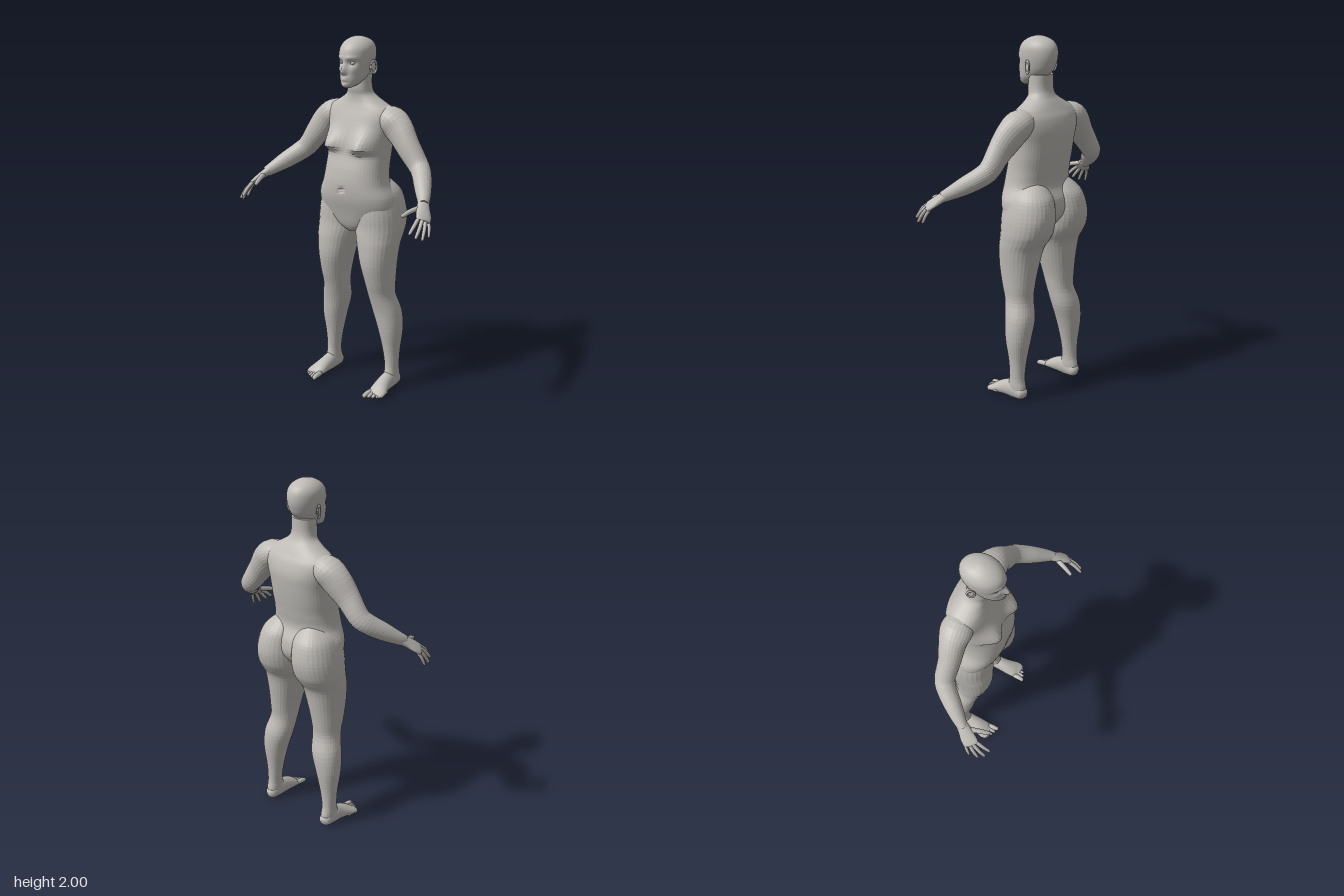
import * as THREE from 'three';

const skin = new THREE.MeshStandardMaterial({ color: 0xbebbb6 });
skin.name = 'plain clay grey';

// Catmull-Rom interpolation of every column in a table of cross-sections
function resample(rows, k) {
  const out = [];
  for (let i = 0; i < rows.length - 1; i++) {
    const [p, a, b, q] = [rows[Math.max(i - 1, 0)], rows[i], rows[i + 1], rows[Math.min(i + 2, rows.length - 1)]];
    for (let s = 0; s < k; s++) {
      const t = s / k;
      out.push(a.map((v, c) => v + 0.5 * t * (b[c] - p[c] + t * (2 * p[c] - 5 * v + 4 * b[c] - q[c]
        + t * (3 * (v - b[c]) + q[c] - p[c])))));
    }
  }
  out.push(rows[rows.length - 1]);
  return out;
}

// Closed surface over a list of rings, with a fan at each end
function loft(rings) {
  const n = rings[0].length, last = rings.length - 1, pos = [], idx = [];
  rings.forEach(r => r.forEach(v => pos.push(v.x, v.y, v.z)));
  for (let i = 0; i < last; i++) for (let j = 0; j < n; j++) {
    const k = (j + 1) % n, a = i * n + j, b = i * n + k;
    idx.push(a, b, b + n, a, b + n, a + n);
  }
  [0, last].forEach((row, end) => {
    const c = new THREE.Vector3();
    rings[row].forEach(v => c.addScaledVector(v, 1 / n));
    const id = pos.length / 3;
    pos.push(c.x, c.y, c.z);
    for (let j = 0; j < n; j++) {
      const a = row * n + j, b = row * n + (j + 1) % n;
      if (end) idx.push(id, a, b); else idx.push(id, b, a);
    }
  });
  const g = new THREE.BufferGeometry();
  g.setAttribute('position', new THREE.Float32BufferAttribute(pos, 3));
  g.setIndex(idx);
  g.computeVertexNormals();
  return g;
}

// Upright form: rows of [y, xMin, xMax, zFront, zBack], from bottom to top
function column(rows, n, k, power = 2) {
  const bend = v => Math.sign(v) * Math.abs(v) ** (2 / power);
  return loft(resample(rows, k).map(([y, x0, x1, zf, zb]) => Array.from({ length: n }, (_, j) => {
    const t = j / n * Math.PI * 2;
    return new THREE.Vector3((x0 + x1) / 2 + (x1 - x0) / 2 * bend(Math.sin(t)), y,
      (zf + zb) / 2 + (zf - zb) / 2 * bend(Math.cos(t)));
  })));
}

// Form along a path: rows of [x, y, z, radius along ref, radius across]
function limb(rows, ref, n, k) {
  const pts = resample(rows, k), at = i => new THREE.Vector3(...pts[i].slice(0, 3));
  return loft(pts.map(([, , , ra, rb], i) => {
    const t = at(Math.min(i + 1, pts.length - 1)).sub(at(Math.max(i - 1, 0))).normalize();
    const a = new THREE.Vector3(...ref);
    a.addScaledVector(t, -a.dot(t)).normalize();
    const b = t.clone().cross(a);
    return Array.from({ length: n }, (_, j) => {
      const w = j / n * Math.PI * 2;
      return at(i).addScaledVector(a, ra * Math.cos(w)).addScaledVector(b, rb * Math.sin(w));
    });
  }));
}

// Finger or toe with a rounded tip
function digit(base, mid, tip, r) {
  const near = tip.map((v, c) => v + (mid[c] - v) * 0.15);
  return limb([[...base, r, r], [...mid, r, r], [...near, r * 0.8, r * 0.75], [...tip, r * 0.3, r * 0.3]], [0, 1, 0], 12, 4);
}

// Push front vertices along z: [x, y, width, height above, height below, depth]
function sculpt(g, bumps, z0, z1) {
  const p = g.attributes.position;
  for (let i = 0; i < p.count; i++) {
    const x = Math.abs(p.getX(i)), y = p.getY(i), z = p.getZ(i);
    let d = 0;
    for (const [cx, cy, sx, up, down, depth] of bumps)
      d += depth * Math.exp(-(((x - cx) / sx) ** 2) - ((y - cy) / (y > cy ? up : down)) ** 2);
    p.setZ(i, z + d * THREE.MathUtils.smoothstep(z, z0, z1));
  }
  g.computeVertexNormals();
  return g;
}

function faceted(g) {
  const f = g.toNonIndexed();
  f.computeVertexNormals();
  return f;
}

function ellipsoid(x, y, z, rx, ry, rz, turn = 0) {
  return new THREE.SphereGeometry(1, 20, 14).scale(rx, ry, rz).rotateY(turn).translate(x, y, z);
}

function mirrored(g) {
  const m = g.clone().scale(-1, 1, 1), id = m.index.array;
  for (let i = 0; i < id.length; i += 3) [id[i], id[i + 1]] = [id[i + 1], id[i]];
  m.computeVertexNormals();
  return m;
}

export function createModel() {
  const model = new THREE.Group();
  model.name = 'standingFigure';
  const add = (name, g) => {
    const m = new THREE.Mesh(g, skin);
    m.name = name;
    model.add(m);
  };
  const pair = (name, g, flat = false) => {
    add('left' + name, flat ? faceted(g) : g);
    add('right' + name, flat ? faceted(mirrored(g)) : mirrored(g));
  };
  const even = rows => rows.map(([y, w, f, b]) => [y, -w, w, f, b]);

  // Torso and neck
  const torso = column(even([
    [0.93, 0.03, 0.01, -0.12], [0.97, 0.14, 0.035, -0.16], [1.05, 0.23, 0.06, -0.22], [1.13, 0.236, 0.083, -0.222],
    [1.21, 0.197, 0.09, -0.19], [1.29, 0.184, 0.08, -0.2], [1.37, 0.184, 0.058, -0.215], [1.45, 0.188, 0.045, -0.226],
    [1.52, 0.2, 0.025, -0.23], [1.58, 0.212, 0.005, -0.215], [1.62, 0.19, -0.01, -0.193], [1.655, 0.13, -0.02, -0.172],
    [1.69, 0.08, -0.022, -0.15], [1.73, 0.067, -0.015, -0.138], [1.8, 0.065, -0.02, -0.138]]), 56, 6, 2.3);
  sculpt(torso, [[0.108, 1.412, 0.062, 0.075, 0.026, 0.056], [0, 1.18, 0.016, 0.014, 0.014, -0.012]], -0.08, 0);
  add('torso', faceted(torso));

  // Head with sculpted face
  const head = column(even([
    [1.735, 0.02, 0.05, 0.0], [1.75, 0.042, 0.06, -0.04], [1.78, 0.063, 0.062, -0.1], [1.82, 0.075, 0.06, -0.148],
    [1.86, 0.083, 0.059, -0.168], [1.9, 0.088, 0.06, -0.176], [1.94, 0.086, 0.05, -0.171], [1.97, 0.07, 0.024, -0.15],
    [1.99, 0.043, -0.012, -0.112], [2.0, 0.01, -0.05, -0.072]]), 96, 8);
  sculpt(head, [
    [0, 1.818, 0.014, 0.036, 0.012, 0.03],      // nose
    [0.036, 1.868, 0.02, 0.014, 0.018, -0.014], // eye sockets
    [0.035, 1.895, 0.03, 0.01, 0.012, 0.005],   // brows
    [0.05, 1.83, 0.02, 0.02, 0.025, 0.005],     // cheeks
    [0, 1.783, 0.023, 0.011, 0.011, 0.011],     // lips
    [0, 1.783, 0.024, 0.003, 0.003, -0.006],    // mouth line
    [0, 1.75, 0.022, 0.013, 0.014, 0.007],      // chin
  ], -0.04, 0.03);
  add('head', head);
  pair('Eye', ellipsoid(0.035, 1.868, 0.028, 0.015, 0.012, 0.015));
  pair('Ear', ellipsoid(0.09, 1.84, -0.07, 0.009, 0.032, 0.02, -0.35));
  pair('EarRim', new THREE.TorusGeometry(0.02, 0.005, 8, 24).scale(1, 1.6, 1)
    .rotateY(Math.PI / 2 - 0.35).translate(0.096, 1.842, -0.073));

  // Legs, with the buttocks as the top of each loft
  pair('Leg', column([
    [0.015, 0.182, 0.242, -0.06, -0.162], [0.07, 0.175, 0.25, -0.05, -0.166], [0.13, 0.175, 0.25, -0.064, -0.155],
    [0.23, 0.16, 0.256, -0.058, -0.16], [0.36, 0.13, 0.271, -0.036, -0.178], [0.47, 0.097, 0.264, -0.02, -0.18],
    [0.57, 0.085, 0.237, 0.005, -0.155], [0.65, 0.075, 0.238, 0.03, -0.16], [0.76, 0.05, 0.245, 0.054, -0.175],
    [0.865, 0.024, 0.256, 0.055, -0.195], [0.92, 0.007, 0.26, 0.05, -0.228], [0.97, -0.001, 0.262, 0.045, -0.254],
    [1.05, -0.003, 0.255, 0.045, -0.267], [1.14, 0, 0.232, 0.035, -0.25], [1.19, 0.015, 0.2, 0.01, -0.215],
    [1.24, 0.05, 0.14, -0.04, -0.16]], 32, 4, 2.15), true);

  // Feet and toes, flattened on the ground
  const foot = limb([
    [0.213, 0.033, -0.17, 0.014, 0.016], [0.212, 0.038, -0.152, 0.034, 0.036], [0.213, 0.05, -0.09, 0.039, 0.055],
    [0.215, 0.042, -0.03, 0.043, 0.046], [0.221, 0.03, 0.02, 0.05, 0.034], [0.227, 0.02, 0.055, 0.053, 0.022],
    [0.225, 0.015, 0.08, 0.042, 0.012]], [1, 0, 0], 28, 4);
  const fp = foot.attributes.position;
  for (let i = 0; i < fp.count; i++) fp.setY(i, Math.max(fp.getY(i), 0));
  foot.computeVertexNormals();
  pair('Foot', foot);
  [[0.188, 0.184, 0.124, 0.0155], [0.21, 0.21, 0.115, 0.011], [0.229, 0.232, 0.105, 0.0105],
    [0.246, 0.252, 0.092, 0.01], [0.261, 0.271, 0.074, 0.0095]].forEach(([x0, x1, z, r], i) =>
    pair('Toe' + (i + 1), digit([x0, 0.02, z - 0.07], [(x0 + x1) / 2, 0.018, z - 0.03], [x1, 0.011, z], r)));

  // Arms
  pair('Arm', limb([
    [0.11, 1.58, -0.11, 0.05, 0.06], [0.19, 1.56, -0.11, 0.077, 0.085], [0.25, 1.51, -0.105, 0.083, 0.072],
    [0.315, 1.432, -0.092, 0.07, 0.06], [0.38, 1.35, -0.088, 0.059, 0.055], [0.42, 1.312, -0.065, 0.055, 0.053],
    [0.475, 1.262, 0, 0.049, 0.047], [0.525, 1.217, 0.065, 0.036, 0.035], [0.545, 1.198, 0.095, 0.03, 0.026]],
  [0, 1, 0], 28, 4), true);

  // Hands and fingers
  pair('Palm', limb([
    [0.53, 1.213, 0.072, 0.03, 0.026], [0.555, 1.185, 0.11, 0.036, 0.022], [0.578, 1.16, 0.14, 0.042, 0.018],
    [0.592, 1.143, 0.162, 0.041, 0.014], [0.597, 1.136, 0.17, 0.032, 0.009]], [0.033, -0.015, -0.053], 24, 4));
  const fingers = {
    Thumb: [[0.545, 1.19, 0.11], [0.522, 1.178, 0.175], [0.503, 1.158, 0.23], 0.0135],
    IndexFinger: [[0.572, 1.157, 0.17], [0.577, 1.125, 0.218], [0.575, 1.085, 0.263], 0.0105],
    MiddleFinger: [[0.587, 1.15, 0.162], [0.601, 1.11, 0.208], [0.605, 1.065, 0.25], 0.0105],
    RingFinger: [[0.597, 1.143, 0.15], [0.614, 1.1, 0.184], [0.623, 1.05, 0.215], 0.01],
    LittleFinger: [[0.602, 1.138, 0.132], [0.62, 1.1, 0.15], [0.63, 1.056, 0.168], 0.009],
  };
  for (const [name, f] of Object.entries(fingers)) pair(name, digit(...f));
  return model;
}
